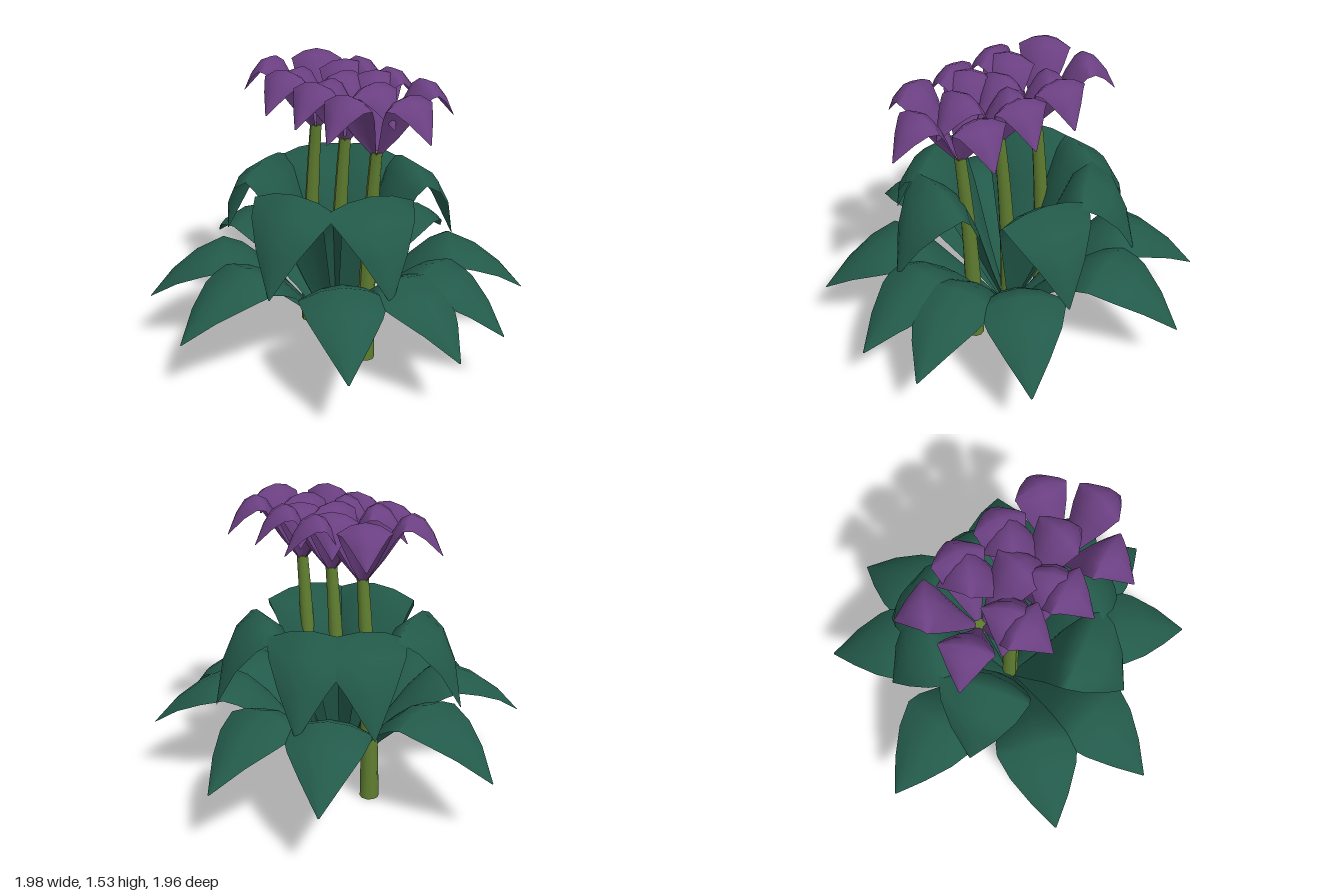
import * as THREE from 'three';

const mat = (name, color) => {
  const m = new THREE.MeshStandardMaterial({ color, side: THREE.DoubleSide });
  m.name = name;
  return m;
};

// Arching blade growing along +x: rows of [radius, height, half width], edges curling down by `curl`.
function bladeGeometry(rows, curl) {
  const cols = [-1, -0.5, 0, 0.5, 1], n = cols.length;
  const maxW = Math.max(...rows.map((r) => r[2]));
  const pos = [], idx = [];
  rows.forEach(([r, y, w], i) => {
    const p = rows[Math.max(i - 1, 0)], q = rows[Math.min(i + 1, rows.length - 1)];
    const len = Math.hypot(q[0] - p[0], q[1] - p[1]);
    const nx = -(q[1] - p[1]) / len, ny = (q[0] - p[0]) / len;
    cols.forEach((s) => {
      const d = curl * s * s * (w / maxW);
      pos.push(r - nx * d, y - ny * d, s * w);
    });
    if (i === rows.length - 1) return;
    for (let j = 0; j < n - 1; j++) {
      const a = i * n + j;
      idx.push(a, a + 1, a + n, a + 1, a + n + 1, a + n);
    }
  });
  const g = new THREE.BufferGeometry();
  g.setAttribute('position', new THREE.Float32BufferAttribute(pos, 3));
  g.setIndex(idx);
  g.computeVertexNormals();
  return g;
}

// Tapered stem leaning gently towards +x
function stemGeometry(height, lean) {
  const g = new THREE.CylinderGeometry(0.03, 0.05, height, 10, 8);
  g.translate(0, height / 2, 0);
  const p = g.attributes.position;
  for (let i = 0; i < p.count; i++) {
    p.setX(i, p.getX(i) + lean * (p.getY(i) / height) ** 2);
  }
  g.computeVertexNormals();
  return g;
}

export function createModel() {
  const leafGreen = mat('leaf green', 0x235a4a);
  const stemGreen = mat('stem green', 0x5f7d30);
  const petalPurple = mat('petal purple', 0x6c4083);

  const model = new THREE.Group();
  model.name = 'floweringPlant';
  const plant = new THREE.Group();
  plant.name = 'plant';
  plant.position.set(-0.01, 0, -0.016);
  model.add(plant);

  const lowerLeaf = bladeGeometry([
    [0.02, 0.05, 0.02], [0.2, 0.28, 0.09], [0.38, 0.49, 0.17], [0.49, 0.58, 0.21],
    [0.6, 0.62, 0.22], [0.75, 0.56, 0.18], [0.88, 0.465, 0.105], [1.0, 0.33, 0.004],
  ], 0.07);
  const upperLeaf = bladeGeometry([
    [0.02, 0.05, 0.02], [0.13, 0.38, 0.1], [0.23, 0.72, 0.18], [0.31, 0.92, 0.23],
    [0.41, 1.0, 0.24], [0.54, 0.91, 0.2], [0.62, 0.76, 0.12], [0.67, 0.54, 0.004],
  ], 0.06);
  const petal = bladeGeometry([
    [0.01, 1.17, 0.01], [0.075, 1.29, 0.06], [0.14, 1.43, 0.11], [0.19, 1.51, 0.13],
    [0.24, 1.535, 0.135], [0.3, 1.51, 0.11], [0.35, 1.445, 0.07], [0.4, 1.34, 0.004],
  ], 0.055);

  // Leaves spiral by the golden angle: nine low and wide, then six tall
  for (let i = 0; i < 15; i++) {
    const leaf = new THREE.Mesh(i < 9 ? lowerLeaf : upperLeaf, leafGreen);
    leaf.name = i < 9 ? 'lowerLeaf' : 'upperLeaf';
    leaf.rotation.y = THREE.MathUtils.degToRad(137.5 * i);
    plant.add(leaf);
  }

  // Three stems in a row, each with a five-petalled flower
  const stemGeo = stemGeometry(1.19, 0.07);
  for (const x of [-0.26, 0, 0.26]) {
    const stem = new THREE.Mesh(stemGeo, stemGreen);
    stem.name = 'stem';
    stem.position.x = x;
    plant.add(stem);

    const flower = new THREE.Group();
    flower.name = 'flower';
    flower.position.x = x + 0.07;
    for (let k = 0; k < 5; k++) {
      const p = new THREE.Mesh(petal, petalPurple);
      p.name = 'petal';
      p.rotation.y = (k * Math.PI * 2) / 5;
      flower.add(p);
    }
    plant.add(flower);
  }
  return model;
}
